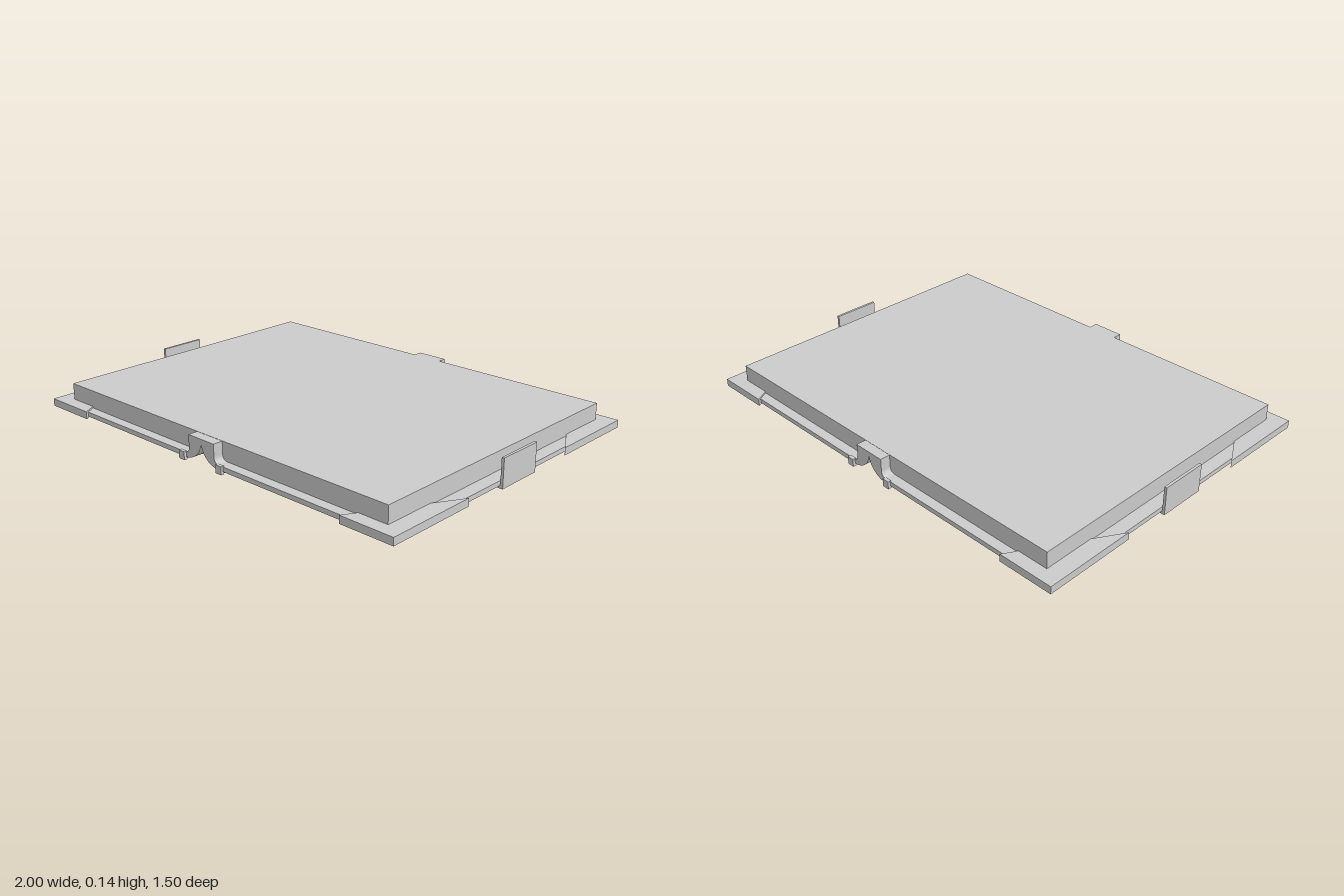
import * as THREE from 'three';

const material = new THREE.MeshStandardMaterial({ color: 0xcccccc, side: THREE.DoubleSide });

function add(parent, name, geometry, x = 0, y = 0, z = 0) {
  const mesh = new THREE.Mesh(geometry, material);
  mesh.name = name;
  mesh.position.set(x, y, z);
  parent.add(mesh);
  return mesh;
}

// Flat plate from an outline in x and z, spanning y0 to y1
function plate(shape, y0, y1) {
  const g = new THREE.ExtrudeGeometry(shape, { depth: y1 - y0, bevelEnabled: false, curveSegments: 24 });
  return g.rotateX(Math.PI / 2).translate(0, y1, 0);
}

// Cover board that curls upward into one half of the spine
function coverGeometry(side) {
  const s = new THREE.Shape();
  s.moveTo(side * 0.985, 0.027);
  s.lineTo(side * 0.985, 0.048);
  s.lineTo(side * 0.1, 0.048);
  s.quadraticCurveTo(side * 0.075, 0.05, side * 0.075, 0.075);
  s.lineTo(side * 0.075, 0.129);
  s.lineTo(0, 0.129);
  s.lineTo(0, 0.112);
  s.bezierCurveTo(side * 0.004, 0.065, side * 0.045, 0.027, side * 0.1, 0.027);
  s.closePath();
  const g = new THREE.ExtrudeGeometry(s, { depth: 1.47, bevelEnabled: false, curveSegments: 14 });
  return g.translate(0, 0, -0.735);
}

export function createModel() {
  const book = new THREE.Group();
  book.name = 'openBook';

  // Page block
  add(book, 'pages', new THREE.BoxGeometry(1.85, 0.085, 1.38), 0, 0.0875, 0);

  const stitch = new THREE.SphereGeometry(1, 14, 10).scale(0.016, 0.012, 0.02);
  const rivet = new THREE.SphereGeometry(0.016, 18, 12);

  for (const side of [-1, 1]) {
    const half = new THREE.Group();
    half.name = side > 0 ? 'leftHalf' : 'rightHalf';
    book.add(half);

    add(half, 'cover', coverGeometry(side));

    // Triangular corner guards
    for (const end of [-1, 1]) {
      const corner = new THREE.Shape([
        new THREE.Vector2(side, end * 0.75),
        new THREE.Vector2(side * 0.75, end * 0.75),
        new THREE.Vector2(side, end * 0.325),
      ]);
      add(half, 'cornerGuard', plate(corner, 0.021, 0.055));

      // Cord looping over the cover edge
      add(half, 'endLoop', new THREE.BoxGeometry(0.032, 0.036, 0.016), side * 0.11, 0.034, end * 0.738);
    }

    // Row of stitches beside the spine
    for (let i = 0; i < 20; i++) {
      add(half, 'stitch', stitch, side * 0.112, 0.027, 0.72 - i * 0.0743);
    }

    // Clasp: upright plate, rounded tab underneath and rivet
    add(half, 'claspPlate', new THREE.BoxGeometry(0.012, 0.126, 0.22), side * 0.994, 0.082, 0);
    const tab = new THREE.Shape();
    tab.moveTo(side, -0.11);
    tab.lineTo(side * 0.95, -0.11);
    tab.bezierCurveTo(side * 0.825, -0.09, side * 0.825, 0.09, side * 0.95, 0.11);
    tab.lineTo(side, 0.11);
    tab.closePath();
    add(half, 'claspTab', plate(tab, 0.017, 0.028));
    add(half, 'claspRivet', rivet, side * 0.908, 0.016, 0);
  }
  return book;
}
